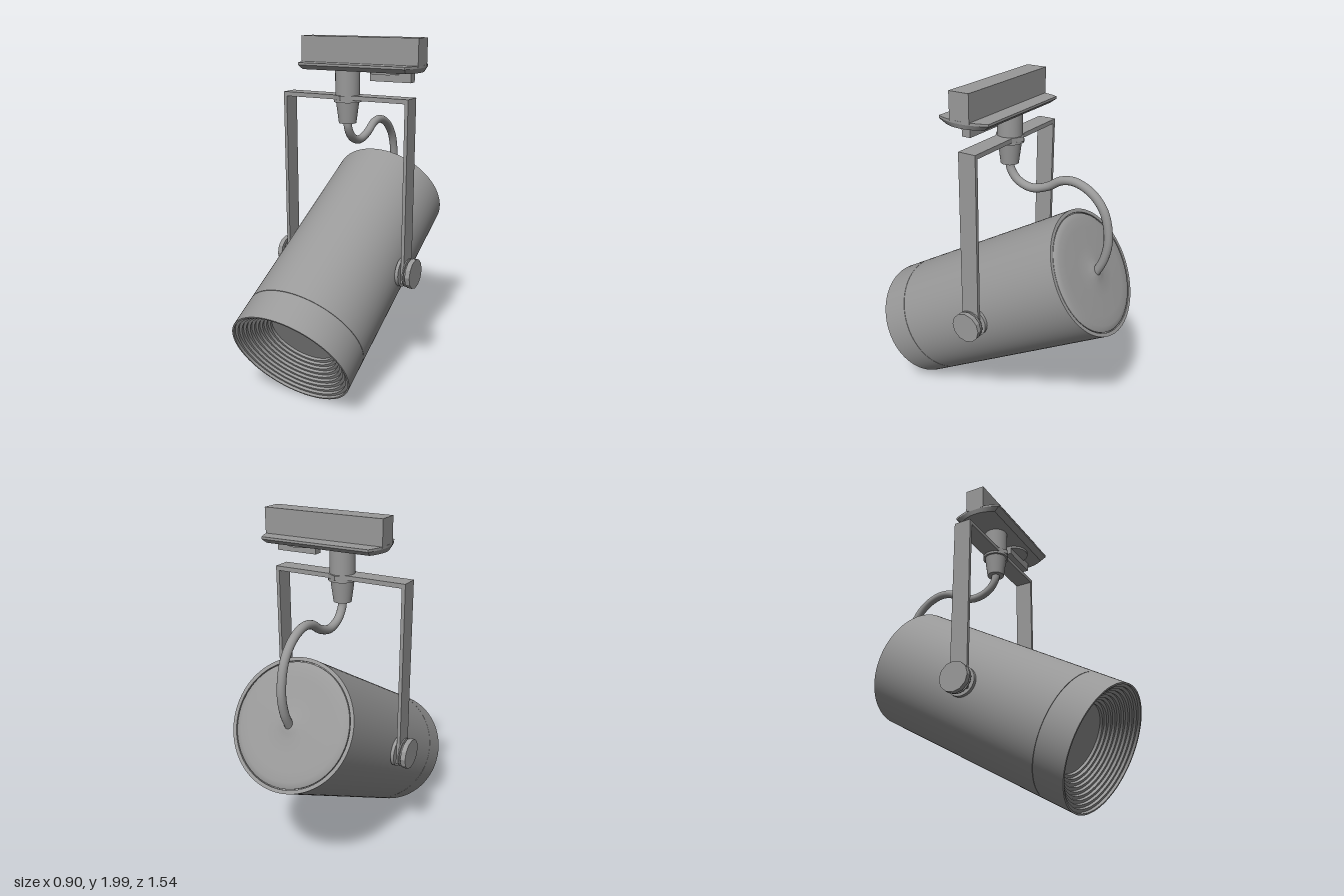
import * as THREE from 'three';
import { toCreasedNormals } from 'three/addons/utils/BufferGeometryUtils.js';

const CX = -0.005, CZ = -0.047; // mounting axis
const mat = new THREE.MeshStandardMaterial({ color: 0x999999 });

function add(parent, name, geo, x = 0, y = 0, z = 0) {
  const mesh = new THREE.Mesh(geo, mat);
  mesh.name = name;
  mesh.position.set(x, y, z);
  parent.add(mesh);
  return mesh;
}

const lathe = (pts, seg = 64) => toCreasedNormals(
  new THREE.LatheGeometry(pts.map(([r, y]) => new THREE.Vector2(r, y)), seg), 0.4);

// Tilted lamp can: rear cap, shell with seam, stepped baffle and lens
function lampBody() {
  const body = new THREE.Group();
  body.name = 'lampBody';
  const R = 0.357, H = 0.681, seam = H - 0.185, gap = 0.0015;
  const shell = [
    [0.332, -0.67], [0.337, -0.67], [0.337, -H], [R, -H],
    [R, seam - gap], [R - 0.004, seam - gap], [R - 0.004, seam + gap], [R, seam + gap],
    [R, H], [0.347, H],
  ];
  // Each baffle step is a short wall followed by a narrow ledge
  const steps = 10, depth = 0.16, ledge = 0.0168;
  for (let i = 0; i < steps; i++) {
    const r = 0.347 - ledge * i;
    const y = H - (depth * (i + 1)) / steps;
    shell.push([r, y]);
    if (i < steps - 1) shell.push([r - ledge, y]);
  }
  add(body, 'shell', lathe(shell, 96));
  add(body, 'lens', new THREE.CylinderGeometry(0.198, 0.198, 0.01, 64), 0, H - depth - 0.005, 0);
  add(body, 'rearCap', lathe([
    [0, -0.714], [0.025, -0.712], [0.05, -0.706], [0.08, -0.7], [0.15, -0.697],
    [0.25, -0.695], [0.3, -0.692], [0.322, -0.686], [0.332, -0.679], [0.332, -0.67],
  ], 96));
  body.rotation.x = (2 * Math.PI) / 3;
  body.position.set(CX, 0.6575, 0.0025);
  return body;
}

// U-shaped bracket
function yoke() {
  const o = 0.398, i = 0.378, top = 1.68, under = 1.655, low = 0.63;
  const s = new THREE.Shape([
    [-o, low], [-i, low], [-i, under], [i, under], [i, low], [o, low], [o, top], [-o, top],
  ].map(([x, y]) => new THREE.Vector2(x, y)));
  return new THREE.ExtrudeGeometry(s, { depth: 0.105, bevelEnabled: false }).translate(0, 0, -0.0525);
}

// Pivot hardware: washers, neck and faceted knob, stacked outward
function pivot(side) {
  const g = new THREE.Group();
  g.name = side > 0 ? 'leftPivot' : 'rightPivot';
  const disc = (name, r, a, b, seg) => add(g, name,
    toCreasedNormals(new THREE.CylinderGeometry(r, r, b - a, seg), 0.4), 0, (a + b) / 2, 0);
  disc('spindle', 0.045, 0.33, 0.42, 24);
  disc('innerWasher', 0.086, 0.356, 0.376, 32);
  disc('outerWasher', 0.082, 0.398, 0.405, 32);
  disc('knobNeck', 0.065, 0.405, 0.42, 24);
  disc('knob', 0.087, 0.418, 0.447, 12);
  g.rotation.z = -side * Math.PI / 2;
  g.position.set(CX, 0.684, CZ);
  return g;
}

// Plate with bowed ends; the taper narrows its underside
function plateLayer(y0, y1, taper) {
  const a = 0.325, c = 0.399, w = 0.15;
  const s = new THREE.Shape();
  s.moveTo(-a, -w);
  s.lineTo(a, -w);
  s.quadraticCurveTo(c, 0, a, w);
  s.lineTo(-a, w);
  s.quadraticCurveTo(-c, 0, -a, -w);
  const geo = new THREE.ExtrudeGeometry(s, { depth: y1 - y0, bevelEnabled: false, curveSegments: 16 });
  geo.rotateX(-Math.PI / 2).translate(0, y0, 0);
  const p = geo.attributes.position;
  for (let k = 0; k < p.count; k++) {
    if (p.getY(k) < (y0 + y1) / 2) p.setXYZ(k, p.getX(k) * (1 - taper * 0.12), y0, p.getZ(k) * (1 - taper));
  }
  return toCreasedNormals(geo, 0.4);
}

function trackAdapter() {
  const g = new THREE.Group();
  g.name = 'trackAdapter';
  add(g, 'adapterBox', new THREE.BoxGeometry(0.72, 0.15, 0.118), 0, 1.925, 0);
  add(g, 'plateRim', plateLayer(1.845, 1.858, 0));
  add(g, 'plateUnderside', plateLayer(1.82, 1.845, 0.22));
  add(g, 'lockDisc', new THREE.CylinderGeometry(0.09, 0.09, 0.02, 40), 0.15, 1.816, 0);
  add(g, 'lockLever', new THREE.BoxGeometry(0.245, 0.055, 0.05), 0.183, 1.7925, 0);
  g.position.set(0.088, 0, CZ);
  return g;
}

export function createModel() {
  const model = new THREE.Group();
  model.name = 'trackSpotlight';
  model.add(lampBody(), trackAdapter(), pivot(1), pivot(-1));
  add(model, 'yoke', yoke(), CX, 0, CZ);

  // Stem through the bracket, with hex nut and tapered cable grip
  add(model, 'stem', new THREE.CylinderGeometry(0.07, 0.07, 0.165, 40), CX, 1.7425, CZ);
  add(model, 'stemNut', toCreasedNormals(new THREE.CylinderGeometry(0.088, 0.088, 0.025, 6), 0.4), CX, 1.667, CZ);
  add(model, 'gripWasher', new THREE.CylinderGeometry(0.078, 0.078, 0.015, 32), CX, 1.648, CZ);
  add(model, 'cableGrip', new THREE.CylinderGeometry(0.066, 0.05, 0.122, 32), CX, 1.581, CZ);

  // Cable looping from the grip to the rear cap
  const path = [
    [1.55, CZ], [1.49, -0.053], [1.43, -0.1], [1.402, -0.19], [1.43, -0.29], [1.478, -0.37],
    [1.489, -0.45], [1.45, -0.55], [1.36, -0.63], [1.21, -0.665], [1.09, -0.647], [0.985, -0.598],
  ].map(([y, z]) => new THREE.Vector3(CX, y, z));
  add(model, 'cable', new THREE.TubeGeometry(new THREE.CatmullRomCurve3(path), 96, 0.024, 16));
  return model;
}
